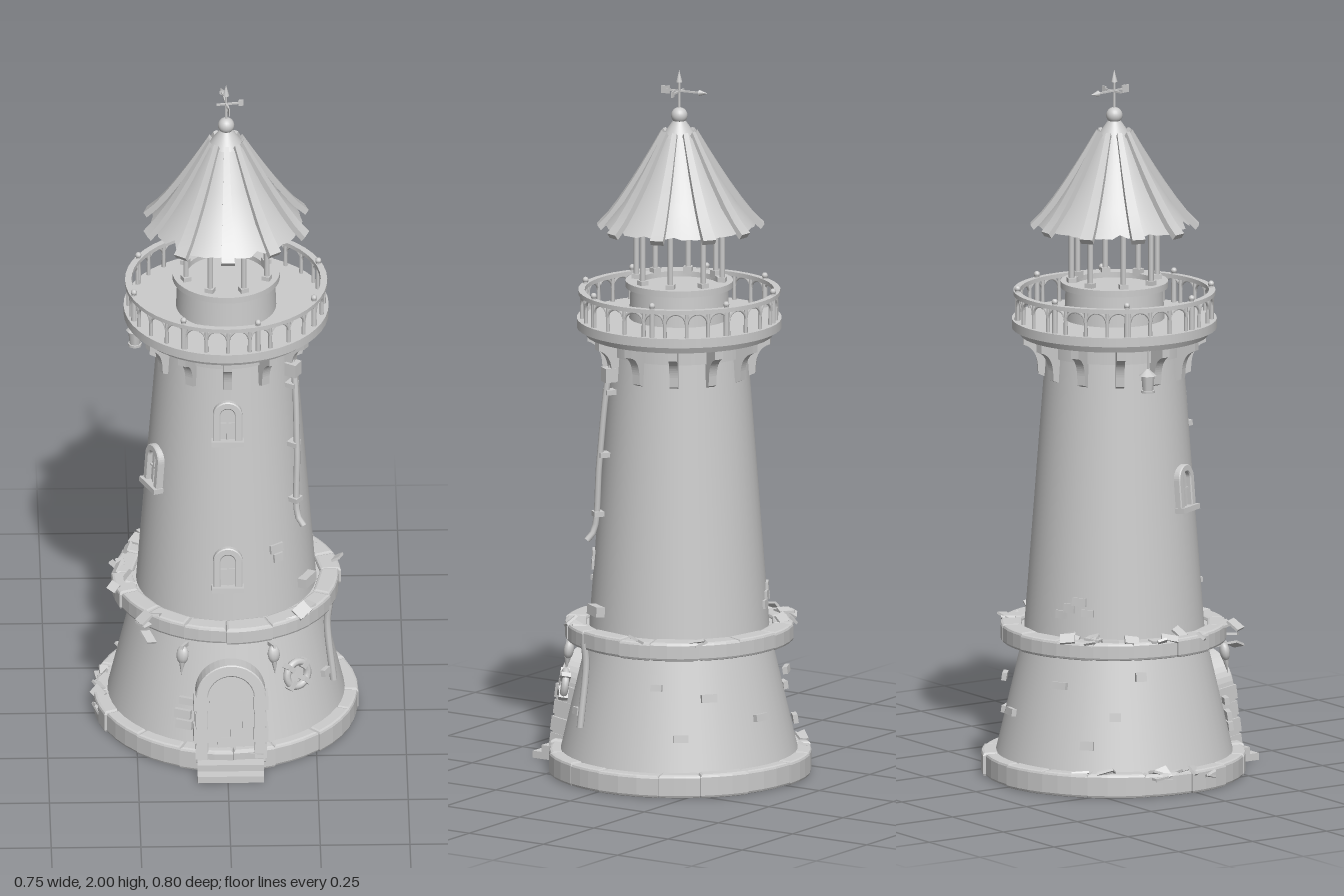
import * as THREE from 'three';

const mat = new THREE.MeshStandardMaterial({ color: 0xcccccc, side: THREE.DoubleSide });
const TAU = Math.PI * 2, DEG = Math.PI / 180;

let seed = 7;
const rnd = (a = 0, b = 1) => {
  seed = (seed * 16807) % 2147483647;
  return a + (b - a) * seed / 2147483647;
};

// Wall radius and lean of the plinth and of the tower shaft
const wallR = y => y < 0.4 ? 0.338 - 0.143 * (y - 0.05) : 0.25 - 0.076 * (y - 0.43);
const lean = y => y < 0.4 ? 0.142 : 0.076;

export function createModel() {
  const model = new THREE.Group();
  const tower = new THREE.Group();
  tower.name = 'tower';
  tower.position.set(0.003, 0, -0.03);
  model.add(tower);

  const add = (parent, name, geo, x = 0, y = 0, z = 0) => {
    const m = new THREE.Mesh(geo, mat);
    m.name = name;
    m.position.set(x, y, z);
    parent.add(m);
    return m;
  };
  const group = (name, parent = tower) => {
    const g = new THREE.Group();
    g.name = name;
    parent.add(g);
    return g;
  };
  // Stand an object at an angle round the axis, facing outward
  const place = (o, a, r, y, tilt = 0) => {
    o.position.set(r * Math.sin(a), y, r * Math.cos(a));
    o.rotation.set(-tilt, a, 0, 'YXZ');
    return o;
  };
  const onWall = (o, a, y, out = 0) => place(o, a, wallR(y) + out, y, lean(y));
  const box = (w, h, d) => new THREE.BoxGeometry(w, h, d);
  const drum = (name, rTop, rBot, y0, y1, open = false) =>
    add(tower, name, new THREE.CylinderGeometry(rTop, rBot, y1 - y0, 48, 1, open), 0, (y0 + y1) / 2, 0);
  const ring = (name, r0, r1, y0, y1) => add(tower, name, new THREE.LatheGeometry(
    [[r0, y0], [r1, y0], [r1, y0], [r1, y1], [r1, y1], [r0, y1], [r0, y1], [r0, y0]].map(p => new THREE.Vector2(...p)), 48));

  // Main masonry bodies
  drum('plinth', wallR(0.4), wallR(0), 0.002, 0.4);
  drum('plinthLedge', 0.295, 0.295, 0.39, 0.42);
  drum('shaft', 0.188, 0.252, 0.41, 1.25);

  // Rings of rounded stone blocks
  const stoneRing = (name, n, r0, r1, y0, y1) => {
    const g = group(name), b = 0.008, cuts = [];
    for (let i = 0; i < n; i++) cuts.push((i + rnd(-0.15, 0.15)) / n * TAU);
    cuts.push(cuts[0] + TAU);
    for (let i = 0; i < n; i++) {
      const a = cuts[i] + b / r1, c = cuts[i + 1] - b / r1, ro = r1 - b + rnd(-0.006, 0.004), pts = [];
      for (let k = 0; k <= 3; k++) {
        const t = a + (c - a) * k / 3;
        pts.push(new THREE.Vector2(ro * Math.cos(t), ro * Math.sin(t)));
      }
      pts.push(new THREE.Vector2(r0 * Math.cos(c), r0 * Math.sin(c)), new THREE.Vector2(r0 * Math.cos(a), r0 * Math.sin(a)));
      const geo = new THREE.ExtrudeGeometry(new THREE.Shape(pts),
        { depth: y1 - y0 - 2 * b + rnd(-0.003, 0.003), bevelSize: b, bevelThickness: b, bevelSegments: 2 });
      add(g, 'stone', geo.rotateX(-Math.PI / 2), 0, y0 + b, 0);
    }
  };
  stoneRing('footStones', 16, 0.3, 0.368, 0, 0.066);
  stoneRing('ledgeStones', 16, 0.27, 0.318, 0.38, 0.432);

  // Arched outline with its foot at y = 0
  const arch = (w, h, C = THREE.Shape) => {
    const s = new C();
    s.moveTo(-w / 2, 0);
    s.lineTo(w / 2, 0);
    s.lineTo(w / 2, h - w / 2);
    s.absarc(0, h - w / 2, w / 2, 0, Math.PI, false);
    s.lineTo(-w / 2, 0);
    return s;
  };
  const archFrame = (w, h, t, depth) => {
    const s = arch(w, h);
    s.holes.push(arch(w - 2 * t, h - t, THREE.Path));
    return new THREE.ExtrudeGeometry(s, { depth, bevelSize: 0.003, bevelThickness: 0.003, bevelSegments: 1, curveSegments: 10 });
  };

  // Door with stone surround and planks
  const door = onWall(group('door'), 0.02, 0.03);
  add(door, 'doorFrame', archFrame(0.19, 0.285, 0.028, 0.06), 0, 0, -0.035);
  add(door, 'doorLeaf', new THREE.ExtrudeGeometry(arch(0.14, 0.26), { depth: 0.04, bevelEnabled: false }), 0, 0, -0.032);
  for (let i = -1; i <= 1; i++) add(door, 'doorPlankSeam', box(0.004, 0.19, 0.006), i * 0.035, 0.1, 0.008);
  for (const y of [0.06, 0.17]) add(door, 'doorHinge', box(0.1, 0.012, 0.008), -0.01, y, 0.01);
  for (const s of [-1, 1]) for (let i = 0; i < 4; i++)
    add(door, 'jambStone', box(0.034 + 0.008 * (i % 2), 0.04, 0.064), s * 0.083, 0.03 + i * 0.048, -0.002);

  // Front steps
  const steps = group('steps', model);
  [[0.02, 0.398], [0.04, 0.368], [0.058, 0.336]].forEach(([h, z]) =>
    add(steps, 'step', box(0.185, h, z - 0.25), 0.008, h / 2, (z + 0.25) / 2));

  // Arched windows
  for (const [deg, y] of [[0, 0.52], [0, 0.97], [-64, 0.77]]) {
    const w = onWall(group('window'), deg * DEG, y);
    add(w, 'windowFrame', archFrame(0.076, 0.122, 0.015, 0.025), 0, 0.004, -0.012);
    add(w, 'windowPane', new THREE.ExtrudeGeometry(arch(0.05, 0.108), { depth: 0.012, bevelEnabled: false }), 0, 0.004, -0.01);
    add(w, 'windowBar', box(0.005, 0.1, 0.008), 0, 0.055, 0.004);
    add(w, 'windowBar', box(0.048, 0.005, 0.008), 0, 0.06, 0.004);
    add(w, 'windowSill', box(0.09, 0.015, 0.045), 0, 0.004, 0.003);
  }

  // Wall lamps beside the door
  for (const s of [-1, 1]) {
    const l = onWall(group('wallLamp'), s * 24 * DEG, 0.32, 0.015);
    add(l, 'lampBody', new THREE.SphereGeometry(0.018, 12, 8).scale(1, 1.5, 0.8), 0, 0.012, 0);
    add(l, 'lampTail', new THREE.ConeGeometry(0.009, 0.04, 8).rotateX(Math.PI), 0, -0.03, 0);
    add(l, 'lampBracket', box(0.008, 0.012, 0.04), 0, 0.035, -0.01);
  }

  // Lifebuoy with four bands
  const buoy = onWall(group('lifebuoy'), 37 * DEG, 0.25, 0.012);
  add(buoy, 'buoyRing', new THREE.TorusGeometry(0.036, 0.011, 8, 24));
  for (let i = 0; i < 4; i++) {
    const a = i * Math.PI / 2 + 0.78;
    add(buoy, 'buoyBand', box(0.028, 0.014, 0.026), 0.036 * Math.cos(a), 0.036 * Math.sin(a), 0).rotation.z = a;
  }

  // Drain pipe on the shaft and its lower length on the plinth
  const polar = (deg, r, y) => new THREE.Vector3(r * Math.sin(deg * DEG), y, r * Math.cos(deg * DEG));
  const tube = (name, pts, r, parent = tower) =>
    add(parent, name, new THREE.TubeGeometry(new THREE.CatmullRomCurve3(pts), 20, r, 8));
  const pipe = group('drainPipe');
  tube('pipe', [polar(60, 0.2, 1.2), polar(59, 0.218, 1.14), polar(55, 0.238, 0.9), polar(52, 0.25, 0.7), polar(52, 0.27, 0.675)], 0.009, pipe);
  for (const y of [0.75, 0.92, 1.1]) place(add(pipe, 'pipeClamp', box(0.03, 0.014, 0.04)), (52 + (y - 0.7) * 16) * DEG, wallR(y) + 0.008, y);
  place(add(pipe, 'pipeHead', box(0.035, 0.04, 0.035)), 59 * DEG, 0.215, 1.15);
  tube('lowerPipe', [polar(66, 0.312, 0.4), polar(66, 0.306, 0.34), polar(66, 0.325, 0.16)], 0.01);

  // Protruding blocks and exposed bricks on the walls
  onWall(add(tower, 'ledgeBlock', box(0.06, 0.028, 0.05)), 60 * DEG, 0.48);
  const bricks = group('exposedBricks');
  for (const [deg, y] of [[-22, 0.12], [-23, 0.15], [-21, 0.19], [60, 0.2], [112, 0.3], [125, 0.16], [140, 0.27], [170, 0.2],
    [205, 0.3], [222, 0.14], [236, 0.22], [250, 0.33], [35, 0.62], [36, 0.59], [205, 0.51], [212, 0.53], [218, 0.5], [199, 0.49]])
    onWall(add(bricks, 'brick', box(rnd(0.03, 0.05), rnd(0.018, 0.026), 0.014)), deg * DEG, y);

  // Broken flakes lying on the stone rings
  const rubble = group('rubble');
  const flakes = (n, d0, d1, r0, r1, y0, y1) => {
    for (let i = 0; i < n; i++) {
      const m = add(rubble, 'flake', box(rnd(0.025, 0.05), 0.007, rnd(0.02, 0.045)));
      place(m, rnd(d0, d1) * DEG, rnd(r0, r1), rnd(y0, y1));
      m.rotation.set(rnd(-0.6, 0.9), m.rotation.y + rnd(-0.5, 0.5), rnd(-0.4, 0.4), 'YXZ');
    }
  };
  flakes(16, 205, 285, 0.275, 0.325, 0.41, 0.445);
  flakes(14, 205, 285, 0.33, 0.365, 0.03, 0.075);
  flakes(6, 95, 150, 0.28, 0.32, 0.4, 0.44);
  flakes(5, 30, 55, 0.28, 0.31, 0.42, 0.44);
  flakes(4, 308, 322, 0.29, 0.35, 0.37, 0.44);

  // Gallery deck on curved brackets
  drum('galleryUnderside', 0.272, 0.262, 1.248, 1.27);
  drum('galleryDeck', 0.286, 0.286, 1.268, 1.294);
  ring('shaftCollar', 0.18, 0.2, 1.2, 1.25);
  const side = new THREE.Shape();
  side.moveTo(0, 0);
  side.lineTo(0.028, 0.012);
  side.lineTo(0.03, 0.04);
  side.quadraticCurveTo(0.035, 0.085, 0.07, 0.095);
  side.lineTo(0.07, 0.125);
  side.lineTo(0, 0.125);
  const bracketGeo = new THREE.ExtrudeGeometry(side, { depth: 0.024, bevelEnabled: false })
    .translate(0, 0, -0.012).rotateY(-Math.PI / 2);
  const brackets = group('galleryBrackets');
  for (let i = 0; i < 12; i++) place(add(brackets, 'bracket', bracketGeo), i * TAU / 12, 0.185, 1.128);

  // Gallery railing with small arches
  const railing = group('railing'), N = 28, R = 0.272;
  for (let i = 0; i < N; i++) {
    place(add(railing, 'baluster', new THREE.CylinderGeometry(0.005, 0.006, 0.075, 6)), i * TAU / N, R, 1.329);
    place(add(railing, 'railArch', new THREE.TorusGeometry(0.029, 0.004, 4, 10, Math.PI)), (i + 0.5) * TAU / N, R, 1.333);
  }
  for (let i = 0; i < 8; i++) {
    const p = place(group('railPost', railing), (i + 0.4) * TAU / 8, R, 1.29);
    add(p, 'post', new THREE.CylinderGeometry(0.007, 0.008, 0.09, 8), 0, 0.045, 0);
    add(p, 'knob', new THREE.SphereGeometry(0.009, 8, 6), 0, 0.093, 0);
  }
  ring('handRail', 0.264, 0.282, 1.362, 1.374);

  // Lantern room
  drum('lanternBase', 0.136, 0.14, 1.29, 1.385);
  ring('lanternSill', 0.112, 0.15, 1.382, 1.4);
  ring('lanternHead', 0.108, 0.135, 1.555, 1.575);
  const posts = group('lanternPosts');
  for (let i = 0; i < 8; i++) {
    const p = place(group('lanternPost', posts), (i + 0.5) * TAU / 8, 0.122, 1.395);
    add(p, 'post', new THREE.CylinderGeometry(0.008, 0.008, 0.17, 8), 0, 0.085, 0);
    add(p, 'foot', box(0.024, 0.02, 0.022), 0, 0.008, 0);
  }

  // Roof with ragged eaves
  const roofPts = [[0.213, 1.558], [0.155, 1.628], [0.105, 1.71], [0.05, 1.812]].map(p => new THREE.Vector2(...p));
  const roofGeo = new THREE.LatheGeometry(roofPts, 60), pos = roofGeo.attributes.position;
  for (let i = 0; i < 60; i++) {
    const v = i * 4, k = 1 - rnd(0, i % 4 ? 0.02 : 0.08);
    pos.setXYZ(v, pos.getX(v) * k, pos.getY(v) + (1 - k) * 0.25, pos.getZ(v) * k);
  }
  for (const f of ['getX', 'getY', 'getZ']) pos['s' + f.slice(1)](240, pos[f](0));
  add(tower, 'roof', roofGeo);

  // Tapered battens following the roof curve
  const battens = group('roofBattens');
  for (let i = 0; i < 10; i++) {
    const g = box(1, 1, 1).toNonIndexed() && new THREE.BoxGeometry(1, 1, 1, 1, 1, 6), p = g.attributes.position;
    const reach = rnd(0.22, 0.236);
    for (let v = 0; v < p.count; v++) {
      const t = p.getZ(v) + 0.5, r = 0.045 + (reach - 0.045) * t;
      const y = 1.822 - 0.268 * (1 - Math.pow(1 - t, 1.2));
      p.setXYZ(v, p.getX(v) * (0.014 + 0.024 * t), y + p.getY(v) * 0.014, r + p.getY(v) * 0.01);
    }
    g.computeVertexNormals();
    add(battens, 'batten', g).rotation.y = i * TAU / 10 + rnd(-0.03, 0.03);
  }

  // Roof cap, ball and weather vane
  drum('roofCap', 0.017, 0.052, 1.806, 1.856);
  add(tower, 'finialBall', new THREE.SphereGeometry(0.023, 20, 14), 0, 1.87, 0);
  const vane = group('weatherVane');
  vane.position.y = 1.94;
  vane.rotation.y = 0.15;
  add(vane, 'rod', new THREE.CylinderGeometry(0.003, 0.004, 0.1, 8), 0, -0.01, 0);
  add(vane, 'rodTip', new THREE.ConeGeometry(0.009, 0.035, 8), 0, 0.0425, 0);
  add(vane, 'arrowShaft', box(0.005, 0.005, 0.11), 0, 0, -0.015);
  add(vane, 'arrowHead', new THREE.ConeGeometry(0.009, 0.026, 6).rotateX(-Math.PI / 2), 0, 0, -0.075);
  add(vane, 'arrowTail', box(0.003, 0.022, 0.026), 0, 0, 0.042);
  add(vane, 'crossArm', box(0.07, 0.005, 0.005), 0.008, -0.002, 0);
  add(vane, 'crossHead', box(0.014, 0.018, 0.004), 0.042, -0.002, 0);

  // Hanging lantern under the gallery
  const lamp = group('hangingLantern');
  lamp.position.set(-0.253, 1.13, -0.06);
  add(lamp, 'lanternBody', new THREE.CylinderGeometry(0.019, 0.015, 0.045, 8), 0, 0.028, 0);
  add(lamp, 'lanternFoot', new THREE.CylinderGeometry(0.02, 0.02, 0.007, 8), 0, 0.004, 0);
  add(lamp, 'lanternRoof', new THREE.ConeGeometry(0.025, 0.022, 8), 0, 0.06, 0);
  add(lamp, 'lanternChain', new THREE.CylinderGeometry(0.003, 0.003, 0.06, 6), 0, 0.092, 0);
  return model;
}
